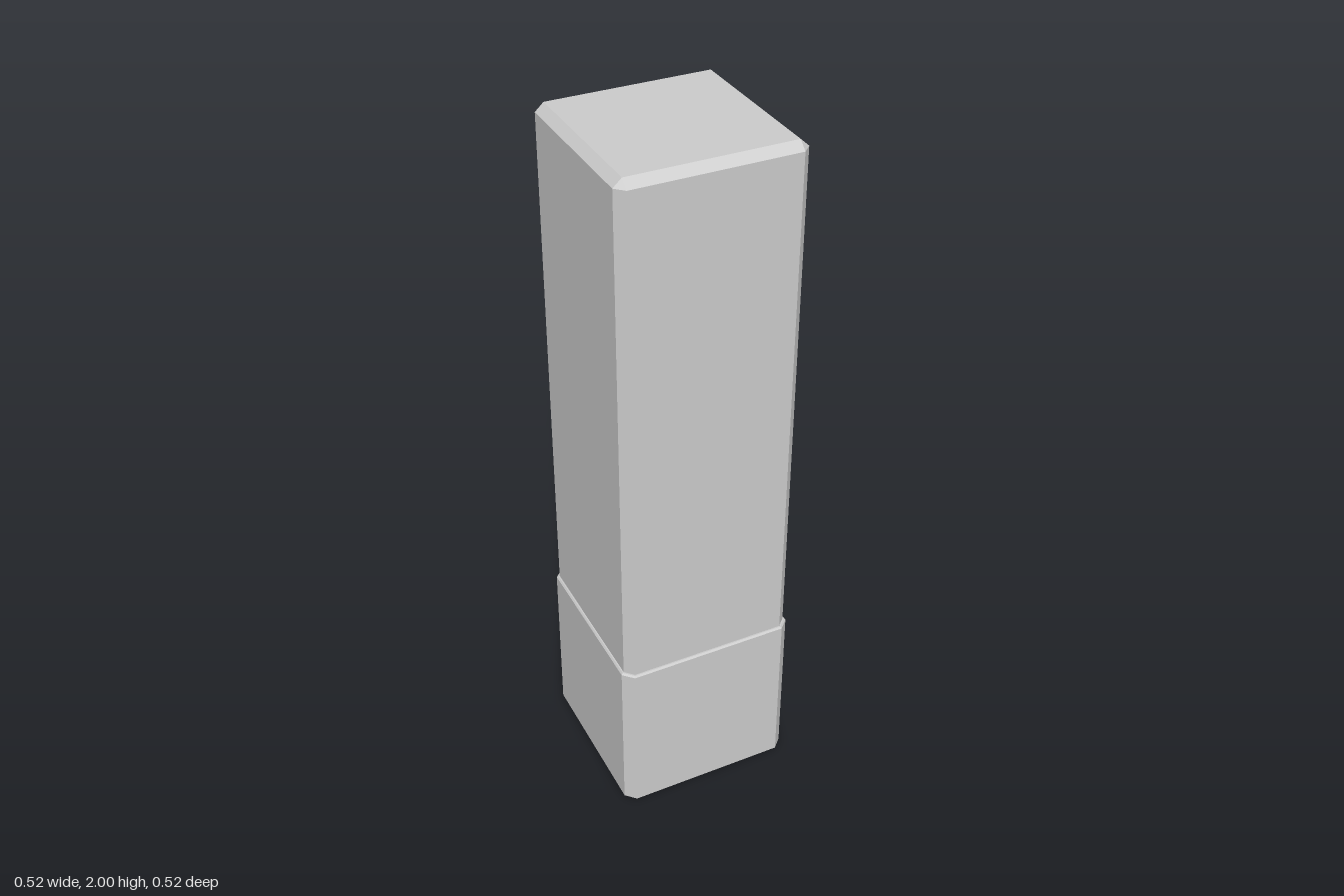
import * as THREE from 'three';
import { ConvexGeometry } from 'three/addons/geometries/ConvexGeometry.js';

const material = new THREE.MeshStandardMaterial({ color: 0xcccccc, flatShading: true });

// Square ring at height y: sides at +-half, corners cut back to +-flat
function ring(y, half, flat) {
  const points = [];
  for (const sx of [-1, 1]) for (const sz of [-1, 1]) {
    points.push(new THREE.Vector3(sx * half, y, sz * flat));
    if (flat < half) points.push(new THREE.Vector3(sx * flat, y, sz * half));
  }
  return points;
}

function bevelledBlock(name, rings) {
  const mesh = new THREE.Mesh(new ConvexGeometry(rings.flatMap((r) => ring(...r))), material);
  mesh.name = name;
  return mesh;
}

export function createModel() {
  const group = new THREE.Group();
  group.name = 'pillar';

  // Wider foot with fine bevels along its top and bottom edges
  group.add(bevelledBlock('base', [
    [0, 0.25, 0.228],
    [0.008, 0.26, 0.232],
    [0.497, 0.26, 0.232],
    [0.502, 0.256, 0.23],
  ]));

  // Tall shaft, chamfered up to a square top face
  group.add(bevelledBlock('shaft', [
    [0.45, 0.252, 0.228],
    [1.978, 0.252, 0.228],
    [2, 0.228, 0.228],
  ]));

  return group;
}
